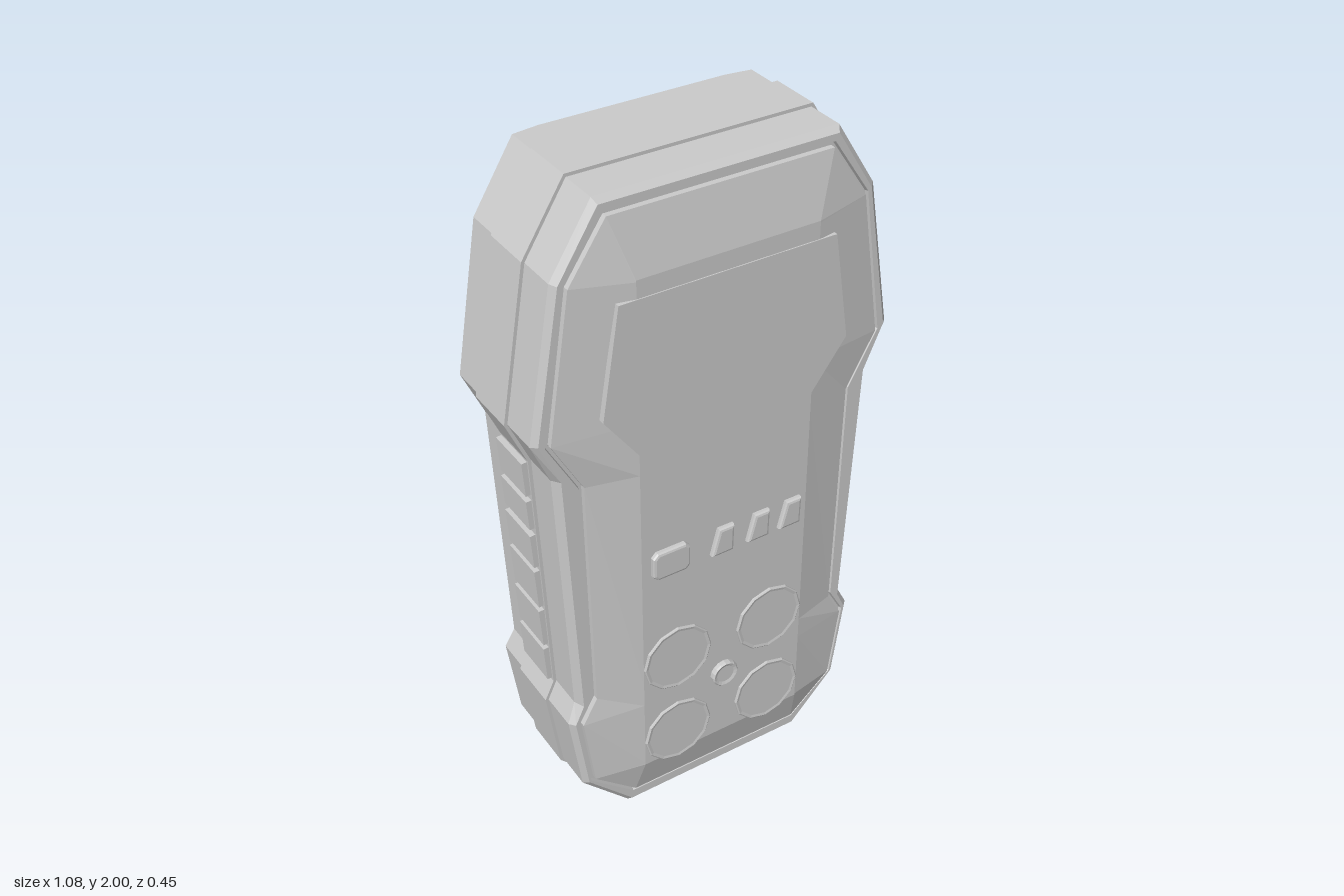
import * as THREE from 'three';

const mat = new THREE.MeshStandardMaterial({ color: 0xcccccc, flatShading: true });

// Right half, bottom to top, mirrored into a closed counter-clockwise loop
const mirrored = (half) => [...half, ...half.map(([x, y]) => [-x, y]).reverse()];

// Move each edge of a loop inwards by d, with mitred corners
function inset(loop, d) {
  const n = loop.length;
  return loop.map((p, i) => {
    const a = loop[(i + n - 1) % n], b = loop[(i + 1) % n];
    const normal = (u, v) => new THREE.Vector2(u[1] - v[1], v[0] - u[0]).normalize();
    const n1 = normal(a, p), n2 = normal(p, b);
    const k = d / (1 + n1.dot(n2));
    return [p[0] + (n1.x + n2.x) * k, p[1] + (n1.y + n2.y) * k];
  });
}

const at = (loop, z) => loop.map(([x, y], i) =>
  new THREE.Vector3(x, y, typeof z === 'function' ? z(i) : z));

// Skin cross-sections from back to front and close both ends with fans
function loft(rings) {
  const pos = [], n = rings[0].length;
  const tri = (...pts) => pts.forEach((p) => pos.push(p.x, p.y, p.z));
  for (let r = 0; r < rings.length - 1; r++) {
    for (let i = 0; i < n; i++) {
      const j = (i + 1) % n, A = rings[r], B = rings[r + 1];
      tri(A[i], A[j], B[j]);
      tri(A[i], B[j], B[i]);
    }
  }
  const centre = (ring) => ring.reduce((s, p) => s.add(p), new THREE.Vector3()).divideScalar(n);
  const back = rings[0], front = rings[rings.length - 1];
  const cb = centre(back), cf = centre(front);
  for (let i = 0; i < n; i++) {
    const j = (i + 1) % n;
    tri(cb, back[j], back[i]);
    tri(cf, front[i], front[j]);
  }
  const g = new THREE.BufferGeometry();
  g.setAttribute('position', new THREE.Float32BufferAttribute(pos, 3));
  g.computeVertexNormals();
  return g;
}

export function createModel() {
  const model = new THREE.Group();
  model.name = 'handheldMeter';
  const add = (name, geometry, x = 0, y = 0, z = 0) => {
    const m = new THREE.Mesh(geometry, mat);
    m.name = name;
    m.position.set(x, y, z);
    model.add(m);
    return m;
  };

  // Outlines of the case, the raised face panel and its flat plateau
  const outline = mirrored([[0.295, 0], [0.445, 0.16], [0.48, 0.42], [0.452, 0.48],
    [0.483, 1.25], [0.54, 1.38], [0.465, 1.81], [0.345, 2]]);
  const panel = mirrored([[0.275, 0.065], [0.405, 0.18], [0.435, 0.41], [0.39, 0.49],
    [0.4, 1.22], [0.485, 1.375], [0.42, 1.79], [0.315, 1.945]]);
  const plateau = mirrored([[0.26, 0.185], [0.26, 0.19], [0.26, 0.42], [0.26, 0.49],
    [0.26, 1.22], [0.26, 1.38], [0.26, 1.775], [0.26, 1.78]]);
  const shell = inset(outline, 0.009);
  const backFlat = shell.map(([x, y]) => [Math.sign(x) * 0.265, y]);
  const waist = (i) => [3, 4, 11, 12].includes(i);

  // Case with a raised band around the middle and a chamfered front rim
  add('case', loft([
    at(backFlat, -0.226),
    at(shell, (i) => (waist(i) ? -0.208 : -0.216)),
    at(shell, -0.11),
    at(outline, -0.11),
    at(outline, 0.04),
    at(shell, 0.04),
    at(shell, (i) => (waist(i) ? 0.14 : 0.152)),
    at(inset(outline, 0.024), 0.167),
    at(inset(panel, -0.012), 0.167),
    at(inset(panel, -0.009), 0.157),
    at(panel, 0.157),
  ]));

  // Sloped face panel
  add('facePanel', loft([at(panel, 0.15), at(panel, 0.173), at(plateau, 0.206)]));

  // Screen slab standing just proud of the panel
  const screen = mirrored([[0.25, 1.27], [0.36, 1.42], [0.31, 1.73]]);
  add('screen', loft([at(screen, 0.17), at(screen, 0.209)]));

  // Grip pads along both sides of the waist
  const pads = [[1.14, 1.245], [1.03, 1.122], [0.9, 1.008], [0.76, 0.885], [0.62, 0.745], [0.49, 0.605]];
  const tilt = Math.atan2(0.031, 0.77);
  for (const s of [1, -1]) {
    for (const [y0, y1] of pads) {
      const y = (y0 + y1) / 2;
      const x = 0.452 + (y - 0.48) * 0.031 / 0.77;
      const pad = add('gripPad', new THREE.BoxGeometry(0.03, y1 - y0, 0.136), s * x, y, -0.034);
      pad.rotation.z = -s * (tilt + 0.02);
    }
  }

  // Bevelled key caps
  const key = (name, points, x, y) => {
    const g = new THREE.ExtrudeGeometry(new THREE.Shape(points.map((p) => new THREE.Vector2(...p))), {
      depth: 0.02, bevelThickness: 0.007, bevelSize: 0.008, bevelOffset: -0.008, bevelSegments: 2 });
    add(name, g, x, y, 0.195);
  };
  const w = 0.057, h = 0.044, c = 0.014;
  key('wideKey', [[-w + c, -h], [w - c, -h], [w, -h + c], [w, h - c], [w - c, h],
    [-w + c, h], [-w, h - c], [-w, -h + c]], -0.175, 0.912);
  for (const x of [-0.014, 0.1, 0.203]) {
    key('slantedKey', [[-0.036, -0.042], [0.032, -0.042], [0.034, 0.042], [-0.014, 0.042]], x, 0.912);
  }

  // Round buttons: flat disc with a thin raised edge
  const round = (name, r, rim, height, sides, x, y) => {
    const profile = [[r, 0], [r, height * 0.8], [r - rim * 0.3, height], [r - rim, height * 0.85], [0, height * 0.85]];
    const g = new THREE.LatheGeometry(profile.map((p) => new THREE.Vector2(...p)), sides);
    g.rotateX(Math.PI / 2);
    add(name, g, x, y, 0.2);
  };
  for (const x of [-0.152, 0.15]) {
    for (const y of [0.553, 0.272]) round('roundButton', 0.108, 0.012, 0.013, 12, x, y);
  }
  round('centreButton', 0.042, 0.014, 0.022, 16, 0, 0.418);

  return model;
}
